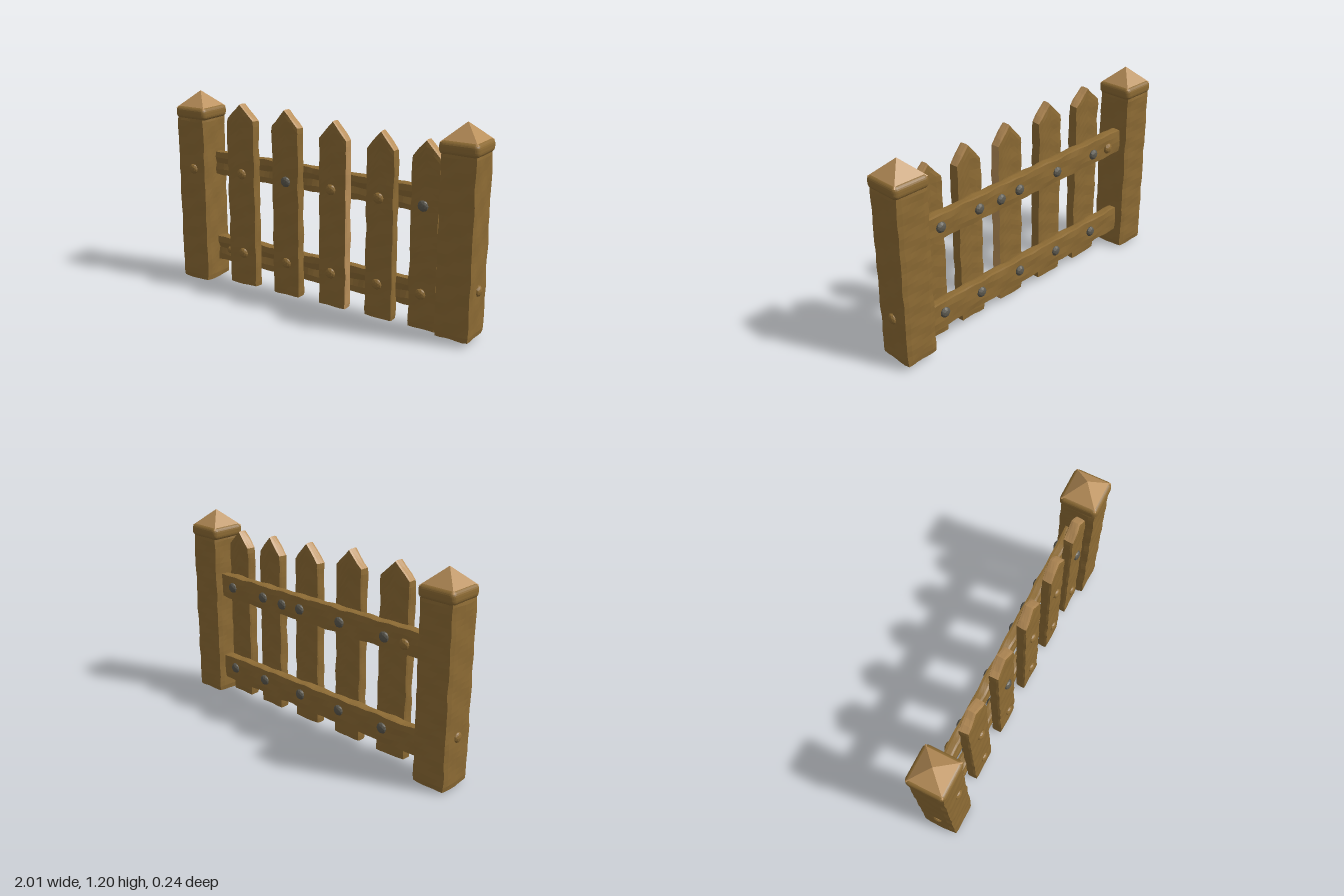
import * as THREE from 'three';
import { RoundedBoxGeometry } from 'three/addons/geometries/RoundedBoxGeometry.js';

const material = (name, color) => {
  const m = new THREE.MeshStandardMaterial({ color, flatShading: true });
  m.name = name;
  return m;
};

// Smooth, repeatable hand-carved unevenness
const dent = (x, y, z) =>
  Math.sin(x * 31 + y * 23 + z * 17) * 0.5 + Math.sin(y * 47 - x * 19 + z * 41 + 1.3) * 0.5;

// Subdivided box with worn edges; shape(p) can bend it, then it is dented
function carvedBox(w, h, d, origin, shape, amount = 0.003, bevel = 0.014) {
  const seg = (s) => 2 * Math.max(2, Math.round(s / 0.07));
  const geo = new THREE.BoxGeometry(w, h, d, seg(w), seg(h), seg(d));
  const pos = geo.attributes.position;
  const p = new THREE.Vector3();
  const core = new THREE.Vector3();
  const limit = new THREE.Vector3(w / 2 - bevel, h / 2 - bevel, d / 2 - bevel);
  const low = limit.clone().negate();
  for (let i = 0; i < pos.count; i++) {
    p.fromBufferAttribute(pos, i);
    core.copy(p).clamp(low, limit);
    p.sub(core).setLength(bevel).add(core);
    if (shape) shape(p);
    p.add(origin);
    const { x, y, z } = p;
    p.x += amount * dent(y, z, x + 2);
    p.y += amount * dent(z, x, y + 5);
    p.z += amount * dent(x, y, z);
    pos.setXYZ(i, p.x, p.y, p.z);
  }
  geo.computeVertexNormals();
  return geo;
}

export function createModel() {
  const wood = material('wood', 0x8d6b34);
  const paleWood = material('pale cut wood', 0xb98f59);
  const iron = material('dark iron', 0x5c594f);

  const model = new THREE.Group();
  model.name = 'picketFence';
  const add = (name, geo, mat, parent = model) => {
    const mesh = new THREE.Mesh(geo, mat);
    mesh.name = name;
    parent.add(mesh);
    return mesh;
  };

  // Square end posts with a rounded collar and pyramid top
  for (const [name, x, bottom] of [['rightPost', -0.89, 0.005], ['leftPost', 0.887, 0.028]]) {
    const post = new THREE.Group();
    post.name = name;
    model.add(post);
    const h = 1.06 - bottom;
    add('shaft', carvedBox(0.206, h, 0.214, new THREE.Vector3(x, bottom + h / 2, 0), null, 0.003, 0.016), wood, post);
    const cx = Math.sign(x) * 0.886;
    const collar = add('collar', new RoundedBoxGeometry(0.228, 0.078, 0.23, 3, 0.03), wood, post);
    collar.position.set(cx, 1.073, 0);
    const cone = new THREE.ConeGeometry(0.106 * Math.SQRT2, 0.1, 4, 1);
    cone.rotateY(Math.PI / 4);
    add('pyramidTop', cone, paleWood, post).position.set(cx, 1.15, 0);
  }

  // Horizontal rails, grooved along the front
  for (const [name, y, h, slope] of [['upperRail', 0.752, 0.146, 0.009], ['lowerRail', 0.203, 0.158, 0.003]]) {
    const groove = (p) => {
      if (p.z > 0.015) p.z -= 0.012 * Math.max(0, 1 - Math.abs(p.y) / 0.035);
      p.y -= p.x * slope;
    };
    add(name, carvedBox(1.6, h, 0.06, new THREE.Vector3(0, y, -0.03), groove, 0.004, 0.009), wood);
  }

  // Pointed pickets: centre, width, peak height, shoulder height
  const pickets = [
    [-0.541, 0.2, 1.155, 1.06],
    [-0.217, 0.186, 1.155, 1.055],
    [0.108, 0.182, 1.126, 1.02],
    [0.414, 0.174, 1.105, 1.005],
    [0.688, 0.17, 1.09, 1.0],
  ];
  pickets.forEach(([x, w, peak, shoulder], i) => {
    const bottom = 0.026;
    const h = peak - bottom;
    const point = (p) => {
      const t = (p.y + h / 2) / h;
      p.y -= t * (peak - shoulder) * Math.abs(p.x) / (w / 2);
    };
    const side = i === 2 ? paleWood : wood;
    add('picket' + (i + 1), carvedBox(w, h, 0.064, new THREE.Vector3(x, bottom + h / 2, 0.032), point, 0.003, 0.011),
      [side, wood, paleWood, wood, wood, wood]);
  });

  // Hammered nail heads and pegs, flattened along the facing axis
  const stud = (name, x, y, z, mat, axis = 'z', r = 0.032) => {
    const mesh = add(name, new THREE.IcosahedronGeometry(r, 1), mat);
    mesh.position.set(x, y, z);
    mesh.scale[axis] = 0.6;
  };
  [-0.533, -0.21, 0.1, 0.408, 0.68].forEach((x, i) => {
    stud('upperFrontStud', x, 0.735, 0.065, i === 1 || i === 4 ? iron : wood);
    stud('lowerFrontStud', x, 0.235, 0.065, wood);
    stud('upperBackStud', x, 0.75, -0.062, iron);
    stud('lowerBackStud', x, 0.215, -0.062, iron);
  });
  stud('extraBackStud', 0.245, 0.745, -0.062, iron);
  stud('extraBackStud', -0.67, 0.745, -0.062, wood);
  stud('railPeg', -0.69, 0.205, 0, wood, 'z', 0.022);
  stud('postFrontPeg', -0.875, 0.73, 0.105, wood);
  stud('postSidePeg', 0.988, 0.3, 0, wood, 'x');
  stud('postSidePeg', -0.988, 0.3, 0, wood, 'x');

  return model;
}
